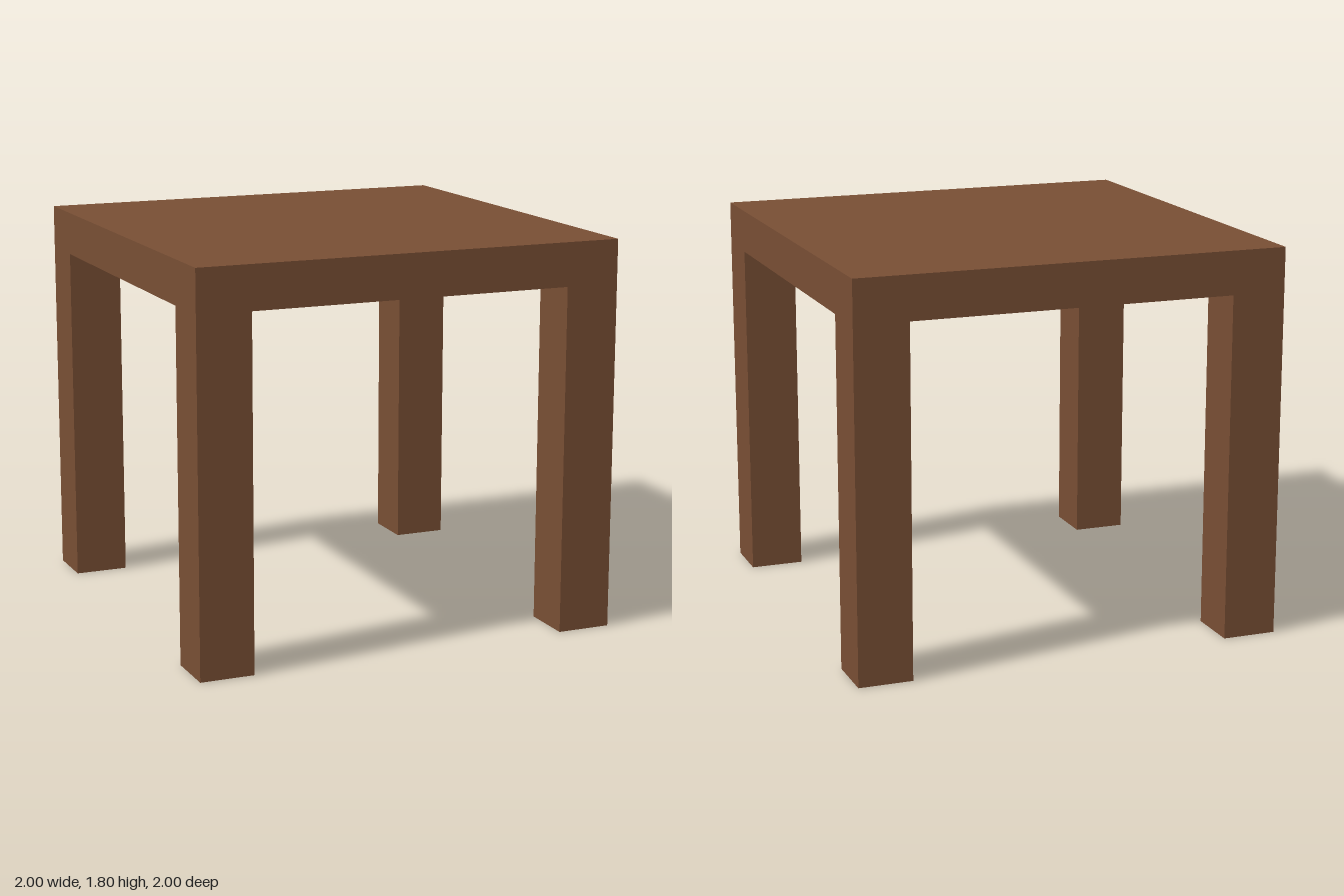
import * as THREE from 'three';

export function createModel() {
  const table = new THREE.Group();
  table.name = 'table';

  const wood = new THREE.MeshStandardMaterial({ color: 0x784e34 });
  wood.name = 'brown wood';

  const size = 2, height = 1.8, topThickness = 0.2, legWidth = 0.25;
  const legHeight = height - topThickness;

  // Square slab top
  const top = new THREE.Mesh(new THREE.BoxGeometry(size, topThickness, size), wood);
  top.name = 'tableTop';
  top.position.y = height - topThickness / 2;
  table.add(top);

  // Four square legs, flush with the corners
  const legGeometry = new THREE.BoxGeometry(legWidth, legHeight, legWidth);
  const offset = (size - legWidth) / 2;
  for (const [zName, z] of [['front', 1], ['back', -1]]) {
    for (const [xName, x] of [['Left', 1], ['Right', -1]]) {
      const leg = new THREE.Mesh(legGeometry, wood);
      leg.name = `${zName}${xName}Leg`;
      leg.position.set(x * offset, legHeight / 2, z * offset);
      table.add(leg);
    }
  }

  return table;
}
